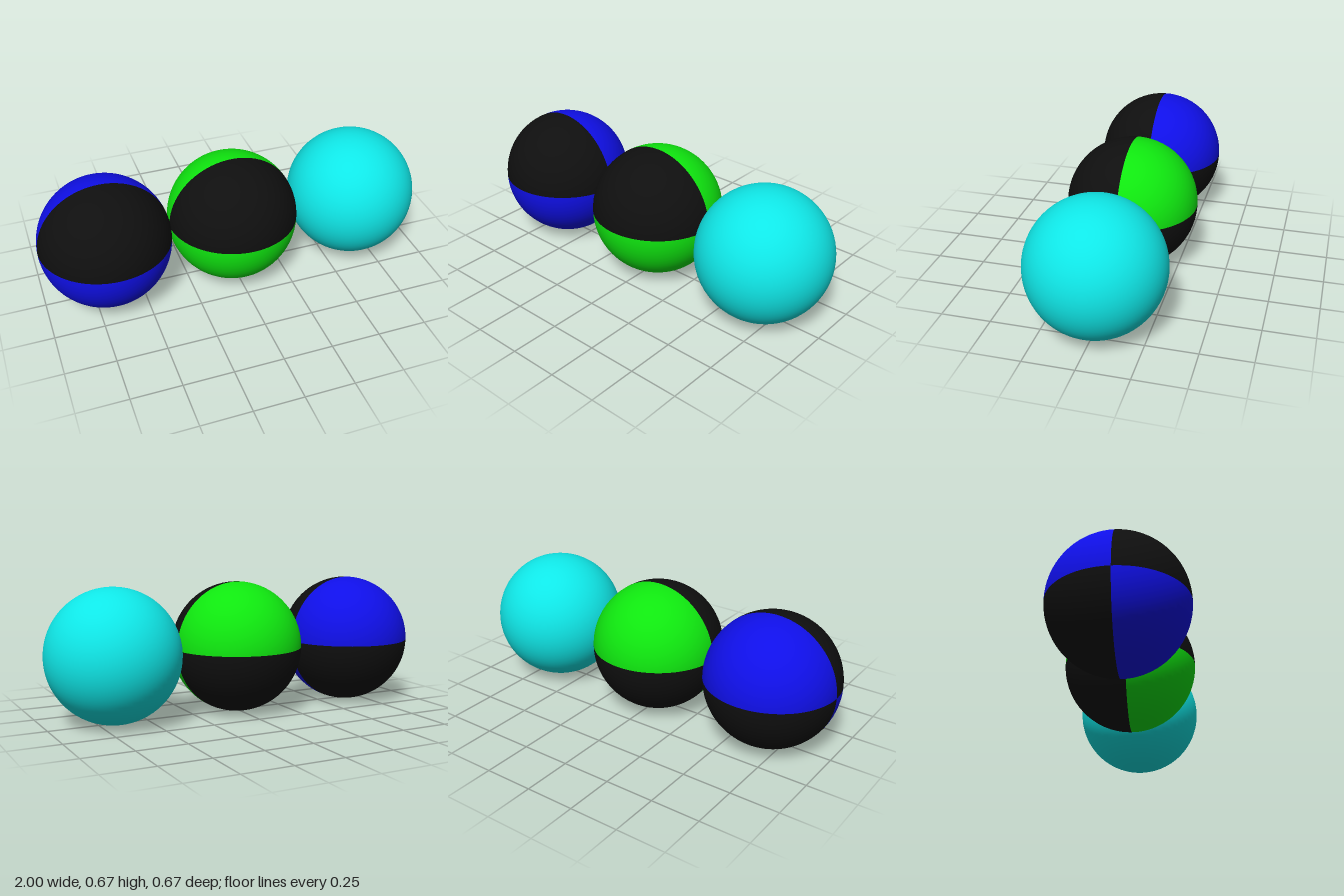
import * as THREE from 'three';

const R = 1 / 3;

function material(name, color) {
  const m = new THREE.MeshStandardMaterial({ color });
  m.name = name;
  return m;
}

export function createModel() {
  const group = new THREE.Group();
  group.name = 'ballRow';
  const black = material('black', 0x0f0f0f);
  const blue = material('blue', 0x1010ee);
  const green = material('green', 0x10ee10);
  const cyan = material('cyan', 0x10eeee);

  // Quarter of a ball: front or back, upper or lower
  const quarter = (front, upper) => new THREE.SphereGeometry(
    R, 40, 20, front ? 0 : Math.PI, Math.PI, upper ? 0 : Math.PI / 2, Math.PI / 2);

  // Ball whose quarters alternate between black and a colour
  function quarteredBall(name, x, colour) {
    const ball = new THREE.Group();
    ball.name = name;
    for (const front of [true, false]) {
      for (const upper of [true, false]) {
        const mesh = new THREE.Mesh(quarter(front, upper), front === upper ? black : colour);
        mesh.name = (front ? 'front' : 'back') + (upper ? 'Upper' : 'Lower') + 'Quarter';
        ball.add(mesh);
      }
    }
    ball.position.set(x, R, 0);
    group.add(ball);
  }
  quarteredBall('rightBall', -2 * R, blue);
  quarteredBall('middleBall', 0, green);

  // Plain ball
  const plain = new THREE.Mesh(new THREE.SphereGeometry(R, 80, 40), cyan);
  plain.name = 'leftBall';
  plain.position.set(2 * R, R, 0);
  group.add(plain);

  return group;
}
